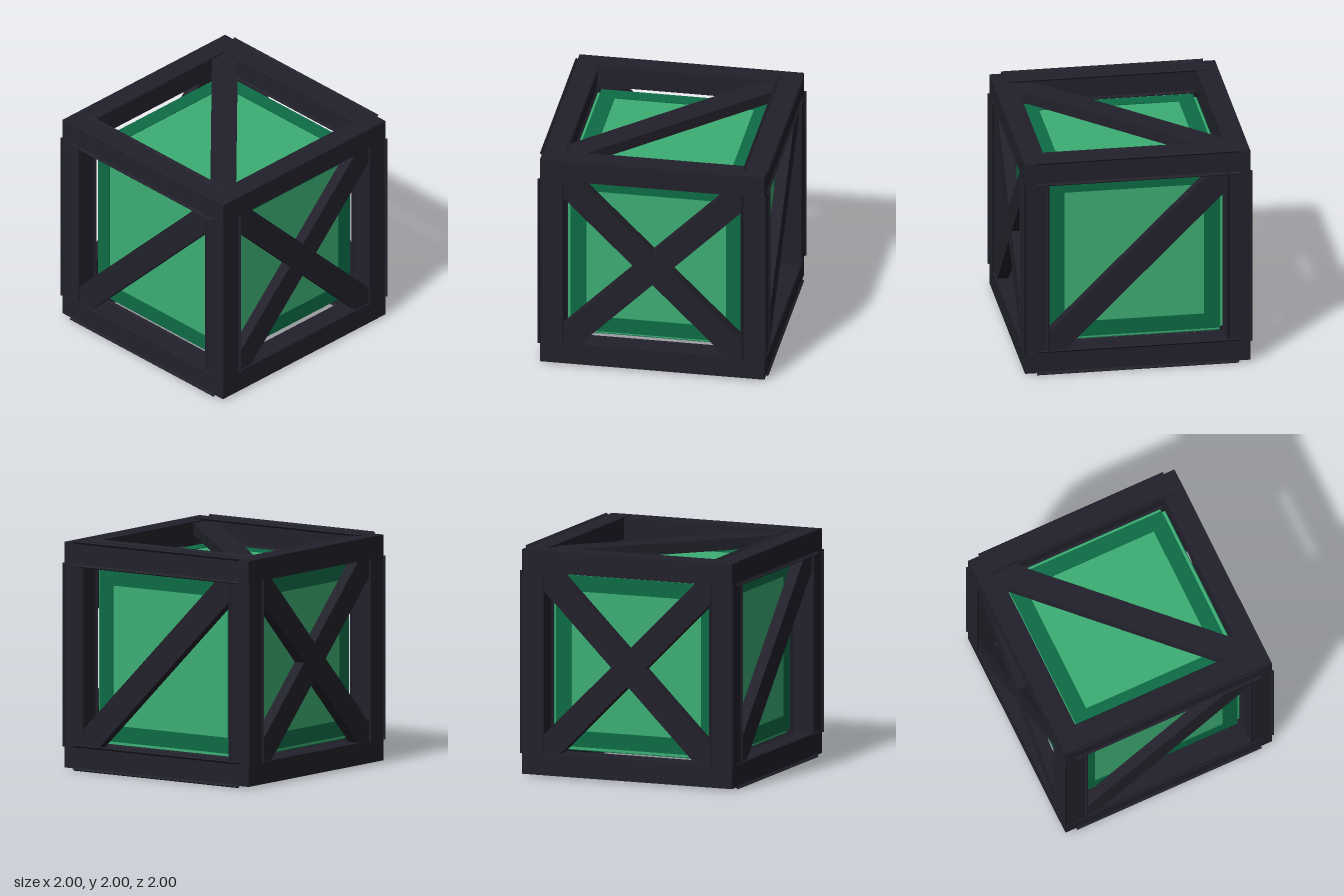
import * as THREE from 'three';

const mat = (name, color) => {
  const m = new THREE.MeshStandardMaterial({ color });
  m.name = name;
  return m;
};

export function createModel() {
  const frameMat = mat('dark frame', 0x22212b);
  const lightMat = mat('light green', 0x3dae74);
  const deepMat = mat('deep green', 0x0d6c45);

  const model = new THREE.Group();
  model.name = 'crate';
  const body = new THREE.Group(); // everything is built around the cube's centre
  body.name = 'crateBody';
  body.position.y = 1;
  model.add(body);

  const add = (parent, name, geometry, material, x = 0, y = 0, z = 0) => {
    const m = new THREE.Mesh(geometry, material);
    m.name = name;
    m.position.set(x, y, z);
    parent.add(m);
    return m;
  };

  // Inner block: three crossed boxes leave a notch along every edge
  const W = 1.5, D = 1.56;
  add(body, 'corePanelsX', new THREE.BoxGeometry(D, W, W), lightMat);
  add(body, 'corePanelsY', new THREE.BoxGeometry(W, D, W), lightMat);
  add(body, 'corePanelsZ', new THREE.BoxGeometry(W, W, D), lightMat);

  // Thin square border for each panel
  const square = (path, h) => path.moveTo(-h, -h).lineTo(h, -h).lineTo(h, h).lineTo(-h, h).closePath();
  const ring = square(new THREE.Shape(), 0.75);
  ring.holes.push(square(new THREE.Path(), 0.61));
  const borderGeo = new THREE.ExtrudeGeometry(ring, { depth: 0.006, bevelEnabled: false });
  const braceGeo = new THREE.BoxGeometry(2.3, 0.222, 0.1);

  // Brace trimmed to the frame opening, so its ends sit inside the beams
  const e = 0.88, k = 0.157;
  const braceShape = new THREE.Shape();
  braceShape.moveTo(-e, -e).lineTo(-e + k, -e).lineTo(e, e - k).lineTo(e, e).lineTo(e - k, e).lineTo(-e, -e + k).closePath();
  const trimmedBrace = new THREE.ExtrudeGeometry(braceShape, { depth: 0.1, bevelEnabled: false });
  braceGeo.dispose();

  // Faces: name, rotation, brace directions (1 rises to the right, -1 falls)
  const H = Math.PI / 2;
  const faces = [
    ['front', 0, 0, [1, -1]], ['back', 0, Math.PI, [1, -1]],
    ['left', 0, H, [1]], ['right', 0, -H, [1]],
    ['top', -H, 0, [1]], ['bottom', H, 0, []],
  ];
  for (const [name, rx, ry, braces] of faces) {
    const face = new THREE.Group();
    face.name = name + 'Face';
    face.rotation.set(rx, ry, 0);
    body.add(face);
    add(face, name + 'PanelBorder', borderGeo, deepMat, 0, 0, D / 2);
    for (const dir of braces) {
      const b = add(face, name + 'Brace', trimmedBrace, frameMat, 0, 0, 0.87);
      if (dir < 0) b.rotation.z = H;
    }
  }

  // Edge beams, modelled along z and turned to each axis, with raised corner lips
  const IN = 0.79, OUT = 0.983, T = OUT - IN, C = (IN + OUT) / 2;
  const axes = [
    ['crossBeam', 1.966, 0, [0, H, 0]],
    ['uprightBeam', 1.966, 1.6, [H, 0, 0]],
    ['sideBeam', 1.94, 1.76, [0, 0, 0]],
  ];
  for (const [name, length, lipLength, rot] of axes) {
    const set = new THREE.Group();
    set.name = name + 's';
    set.rotation.set(...rot);
    body.add(set);
    for (const sx of [-1, 1]) for (const sy of [-1, 1]) {
      const x = sx * C, y = sy * C;
      add(set, name, new THREE.BoxGeometry(T, T, length), frameMat, x, y, 0);
      if (!lipLength) continue;
      for (const a of [-1, 1]) for (const b of [-1, 1]) {
        const lip = add(set, name + 'Lip', new THREE.BoxGeometry(0.034, 0.012, lipLength), frameMat,
          x + a * (T / 2 + 0.001), y + b * (T / 2 + 0.001), 0);
        lip.rotation.z = a * b * Math.PI / 4;
      }
    }
  }
  return model;
}
